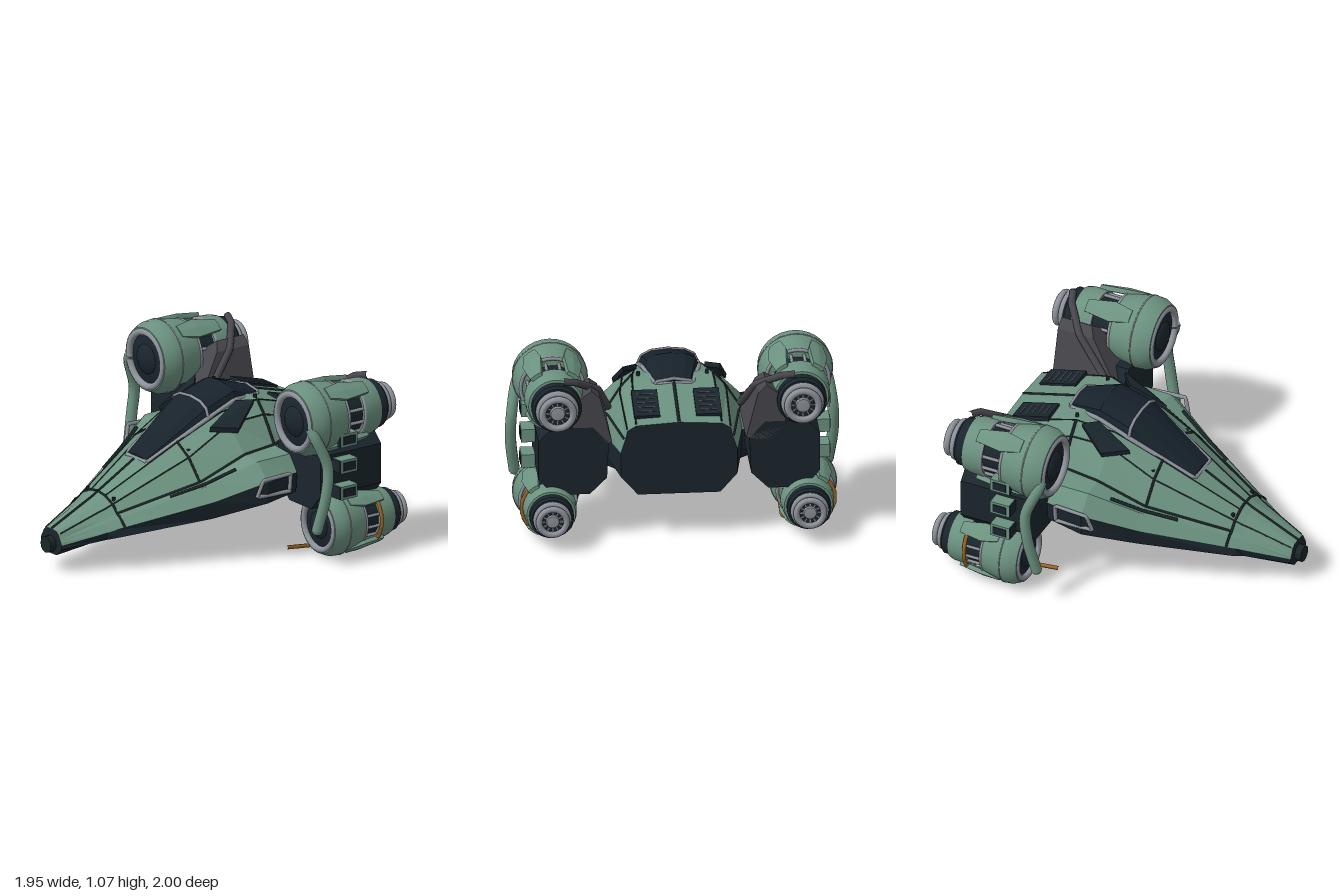
import * as THREE from 'three';
import { toCreasedNormals } from 'three/addons/utils/BufferGeometryUtils.js';
import { ConvexGeometry } from 'three/addons/geometries/ConvexGeometry.js';

const material = (name, color) => Object.assign(new THREE.MeshStandardMaterial({ color }), { name });
const green = material('green paint', 0x6b917f);
const dark = material('dark hull', 0x1a252d);
const seam = material('seam black', 0x1a2527);
const glass = material('glass', 0x17222b);
const grey = material('light metal', 0x8d929a);
const gunmetal = material('dark metal', 0x46464c);
const orange = material('orange pipe', 0x9a6626);
const V = (x, y, z) => new THREE.Vector3(x, y, z);

// Half cross-sections: ridge, deck edge, shoulder, crease, sponson top, paint edge, chine, keel
const SECTIONS = [
  [0.96, [[0, 0.255], [0.05, 0.25], [0.07, 0.235], [0.085, 0.205], [0.095, 0.19], [0.1, 0.175], [0.1, 0.15], [0.05, 0.105]]],
  [0.71, [[0, 0.372], [0.058, 0.362], [0.12, 0.335], [0.156, 0.297], [0.183, 0.278], [0.217, 0.237], [0.205, 0.19], [0.08, 0.142]]],
  [0.67, [[0, 0.39], [0.06, 0.38], [0.13, 0.35], [0.168, 0.312], [0.197, 0.292], [0.237, 0.25], [0.25, 0.205], [0.1, 0.15]]],
  [0.15, [[0, 0.68], [0.15, 0.665], [0.26, 0.6], [0.37, 0.475], [0.43, 0.465], [0.5, 0.385], [0.48, 0.28], [0.2, 0.175]]],
  [-0.13, [[0, 0.815], [0.19, 0.8], [0.27, 0.75], [0.42, 0.6], [0.545, 0.59], [0.645, 0.49], [0.64, 0.36], [0.28, 0.205]]],
  [-0.36, [[0, 0.86], [0.235, 0.845], [0.3, 0.77], [0.4, 0.61], [0.55, 0.595], [0.62, 0.5], [0.61, 0.38], [0.3, 0.25]]],
  [-0.42, [[0, 0.845], [0.24, 0.83], [0.31, 0.755], [0.38, 0.62], [0.39, 0.57], [0.4, 0.5], [0.4, 0.38], [0.3, 0.26]]],
  [-0.82, [[0, 0.735], [0.25, 0.72], [0.3, 0.69], [0.315, 0.63], [0.325, 0.6], [0.34, 0.55], [0.34, 0.4], [0.24, 0.285]]],
];

// Point on section line i at depth z, mirrored by s
function hullPoint(z, i, s = 1) {
  let k = 0;
  while (k < SECTIONS.length - 2 && z < SECTIONS[k + 1][0]) k++;
  const [za, a] = SECTIONS[k], [zb, b] = SECTIONS[k + 1];
  const t = (z - za) / (zb - za);
  return V(s * (a[i][0] + t * (b[i][0] - a[i][0])), a[i][1] + t * (b[i][1] - a[i][1]), z);
}

// Skin between closed rings ordered front to back; keep(i) selects the ring segments
function skin(rings, keep, caps) {
  const out = [], n = rings[0].length;
  for (let k = 0; k < rings.length - 1; k++) {
    for (let i = 0; i < n; i++) {
      if (!keep(i)) continue;
      const j = (i + 1) % n, a = rings[k][i], b = rings[k][j], c = rings[k + 1][j], d = rings[k + 1][i];
      out.push(a, b, c, a, c, d);
    }
  }
  if (caps) {
    const f = rings[0], r = rings[rings.length - 1];
    for (let i = 1; i < n - 1; i++) out.push(f[0], f[i + 1], f[i], r[0], r[i], r[i + 1]);
  }
  const g = new THREE.BufferGeometry().setFromPoints(out);
  g.computeVertexNormals();
  return g;
}

const ringOf = (z, half) => [
  ...half.map(([x, y]) => V(x, y, z)),
  ...half.slice(1).reverse().map(([x, y]) => V(-x, y, z)),
];

export function createModel() {
  const root = new THREE.Group();
  root.name = 'spacecraft';
  const add = (parent, name, geo, mat, x = 0, y = 0, z = 0) => {
    const m = new THREE.Mesh(geo, mat);
    m.name = name;
    m.position.set(x, y, z);
    parent.add(m);
    return m;
  };
  // Pipe through points, straight-jointed unless smooth
  const pipe = (parent, name, pts, r, mat, sides = 6, smooth = false) => {
    let path = new THREE.CatmullRomCurve3(pts, false, 'centripetal');
    if (!smooth) {
      path = new THREE.CurvePath();
      for (let i = 1; i < pts.length; i++) path.add(new THREE.LineCurve3(pts[i - 1], pts[i]));
    }
    return add(parent, name, new THREE.TubeGeometry(path, smooth ? 24 : pts.length * 10, r, sides), mat);
  };
  const box = (parent, name, w, h, d, mat, x, y, z) => add(parent, name, new THREE.BoxGeometry(w, h, d), mat, x, y, z);

  // Hull: painted top, dark belly and ends
  const hull = new THREE.Group();
  hull.name = 'hull';
  root.add(hull);
  const rings = SECTIONS.map(([z, half]) => ringOf(z, half));
  add(hull, 'upperHull', skin(rings, i => i < 5 || i >= 10, false), green);
  add(hull, 'belly', skin(rings, i => i >= 5 && i < 10, true), dark);
  add(hull, 'noseCap', new THREE.CylinderGeometry(0.05, 0.05, 0.05, 12).rotateX(Math.PI / 2), seam, 0, 0.165, 0.975);
  box(hull, 'bellyHatch', 0.22, 0.012, 0.28, gunmetal, 0, 0.187, 0);

  // Panel seams along and across the hull
  const stops = (from, to) => [from, ...SECTIONS.map(s => s[0]).filter(z => z < from && z > to), to];
  pipe(hull, 'ridgeSeam', stops(0.96, 0.36).map(z => hullPoint(z, 0)), 0.009, seam, 4);
  pipe(hull, 'rearRidgeSeam', stops(-0.46, -0.82).map(z => hullPoint(z, 0)), 0.009, seam, 4);
  for (const s of [-1, 1]) {
    for (const [i, from, r] of [[1, 0.62, 0.005], [2, 0.95, 0.006], [3, 0.62, 0.009]]) {
      pipe(hull, 'lengthSeam', stops(from, -0.81).map(z => hullPoint(z, i, s)), r, seam, 4);
    }
    for (const [z, lines] of [[0.62, [0, 1, 2, 3, 4, 5]], [0.155, [0, 1, 2, 3]], [-0.36, [1, 2, 3]]]) {
      pipe(hull, 'crossSeam', lines.map(i => hullPoint(z, i, s)), 0.009, seam, 4);
    }
    for (const [z, i] of [[0.6, 2], [0.13, 2], [-0.37, 1]]) {
      const p = hullPoint(z, i, s);
      add(hull, 'bolt', new THREE.CylinderGeometry(0.011, 0.011, 0.03, 8), seam, p.x * 0.85, p.y + 0.008, z);
    }
    // Deck vents with slats
    const vent = new THREE.Group();
    vent.name = 'deckVent';
    vent.position.set(0.18 * s, 0.776, -0.645);
    vent.rotation.x = -0.27;
    hull.add(vent);
    box(vent, 'ventPlate', 0.15, 0.03, 0.24, dark, 0, 0, 0);
    for (let k = 0; k < 5; k++) box(vent, 'ventSlat', 0.1, 0.012, 0.008, gunmetal, 0, 0.012, -0.08 + k * 0.04);
    // Raised dark plate beside the canopy
    const top = [V(0.285 * s, 0.87, -0.3), V(0.2 * s, 0.855, -0.23), V(0.245 * s, 0.745, -0.01), V(0.335 * s, 0.735, -0.15)];
    add(hull, 'sidePlate', new ConvexGeometry([...top, ...top.map(p => V(p.x * 0.98, p.y - 0.03, p.z))]), dark);
    // Flank window frame and sponson rails
    const w = [[0.635, 0.41, -0.06], [0.655, 0.51, -0.09], [0.64, 0.51, -0.3], [0.63, 0.4, -0.3], [0.635, 0.41, -0.06]];
    pipe(hull, 'flankFrame', w.map(([x, y, z]) => V(x * s, y, z)), 0.012, grey);
    pipe(hull, 'sponsonRail', [0.34, 0.15, -0.02].map(z => hullPoint(z, 4, s).add(V(-0.02 * s, 0.008, 0))), 0.011, seam);
  }

  // Canopy: arched glass loft with a metal frame
  const canopy = new THREE.Group();
  canopy.name = 'canopy';
  root.add(canopy);
  const C = [[0.34, 0.1, 0.56, 0.58], [-0.05, 0.175, 0.775, 0.86], [-0.25, 0.165, 0.845, 0.92], [-0.46, 0.11, 0.825, 0.85]];
  const arch = ([, sx, sy, ty]) => [[0, ty + 0.006], [sx * 0.55, ty - 0.004], [sx * 0.88, sy + (ty - sy) * 0.6], [sx, sy]];
  add(canopy, 'glass', skin(C.map(c => ringOf(c[0], [...arch(c), [c[1] * 0.9, c[2] - 0.06]])), () => true, true), glass);
  const sill = [...C.map(c => V(c[1], c[2], c[0])), ...C.slice().reverse().map(c => V(-c[1], c[2], c[0]))];
  pipe(canopy, 'sillFrame', [...sill, sill[0]], 0.014, grey);
  for (const c of [C[1], C[3]]) {
    const half = arch(c).map(([x, y]) => V(x, y, c[0]));
    pipe(canopy, 'crossFrame', [...half.slice(1).reverse().map(p => V(-p.x, p.y, p.z)), ...half], 0.01, grey);
  }

  // Engine with its front at z = 0, pointing forward; profiles run back to front
  const turned = pts => toCreasedNormals(new THREE.LatheGeometry(pts.map(p => new THREE.Vector2(...p)), 32).rotateX(Math.PI / 2), 0.5);
  function engine(name, x, y, z, radial, axial) {
    const e = new THREE.Group();
    e.name = name;
    e.position.set(x, y, z);
    e.scale.set(radial, radial, axial);
    root.add(e);
    const hoop = (n, r, t, zz, mat) => add(e, n, new THREE.TorusGeometry(r, t, 10, 32), mat, 0, 0, zz);
    add(e, 'frontShell', turned([[0.13, -0.275], [0.19, -0.27], [0.205, -0.2], [0.22, -0.11], [0.216, -0.06], [0.19, -0.005], [0.16, 0]]), green);
    hoop('intakeRing', 0.164, 0.021, -0.012, grey);
    add(e, 'intakeDome', turned([[0.15, -0.025], [0.09, -0.012], [0.085, -0.005], [0.05, 0.012], [0, 0.018]]), dark);
    hoop('shellSeam', 0.217, 0.005, -0.12, grey);
    hoop('shellLip', 0.184, 0.011, -0.275, grey);
    add(e, 'core', turned([[0.14, -0.45], [0.14, -0.25]]), dark);
    add(e, 'rearShell', turned([[0.12, -0.54], [0.16, -0.535], [0.17, -0.5], [0.175, -0.41], [0.13, -0.405]]), green);
    hoop('rearLip', 0.165, 0.01, -0.41, grey);
    for (let k = 0; k < 12; k++) {
      const a = (k + 0.5) * Math.PI / 6;
      add(e, 'strut', new THREE.CylinderGeometry(0.011, 0.011, 0.15, 6).rotateX(Math.PI / 2), grey, 0.15 * Math.cos(a), 0.15 * Math.sin(a), -0.34);
    }
    // Clamp plates above and below, bridging the gap and tapered to the rear
    for (const a of [0.95, 2.19, -0.95, -2.19]) {
      const plate = [];
      for (const [zz, r, half] of [[-0.16, 0.218, 0.18], [-0.28, 0.217, 0.3], [-0.45, 0.195, 0.2]]) {
        const pt = (t, rr) => V(rr * Math.cos(a + t), rr * Math.sin(a + t), zz);
        for (const t of [-half, 0, half]) plate.push(pt(t, r), pt(t, r - 0.03));
      }
      add(e, 'clampPlate', new ConvexGeometry(plate), green);
    }
    add(e, 'rearCollar', turned([[0.08, -0.6], [0.13, -0.6], [0.145, -0.585], [0.145, -0.53]]), dark);
    hoop('nozzleRing', 0.105, 0.021, -0.616, grey);
    hoop('nozzleRing', 0.09, 0.021, -0.661, grey);
    add(e, 'nozzlePlate', turned([[0, -0.65], [0.09, -0.65], [0.1, -0.6]]), dark);
    add(e, 'nozzleHub', turned([[0, -0.67], [0.04, -0.665], [0.05, -0.64]]), grey);
    for (let k = 0; k < 12; k++) {
      const a = k * Math.PI / 6;
      box(e, 'nozzleVane', 0.03, 0.008, 0.012, grey, 0.062 * Math.cos(a), 0.062 * Math.sin(a), -0.652).rotation.z = a;
    }
  }

  // Engine pods, mirrored left and right
  const prism = (pts, s, z0, z1) => new THREE.ExtrudeGeometry(new THREE.Shape(pts.map(([x, y]) => new THREE.Vector2(x * s, y))), { depth: z1 - z0, bevelEnabled: false }).translate(0, 0, z0);
  for (const s of [-1, 1]) {
    const side = s > 0 ? 'left' : 'right';
    engine(side + 'UpperEngine', 0.715 * s, 0.855, -0.255, 1, 1);
    engine(side + 'LowerEngine', 0.75 * s, 0.2, -0.41, 0.89, 0.865);
    const pod = new THREE.Group();
    pod.name = side + 'Pod';
    root.add(pod);
    add(pod, 'pylon', prism([[0.42, 0.4], [0.52, 0.3], [0.73, 0.3], [0.82, 0.4], [0.82, 0.64], [0.74, 0.72], [0.5, 0.72], [0.41, 0.62]], s, -0.82, -0.38), dark);

    // Strut fin, its front edge raked back
    const fin = prism([[0.39, 0.62], [0.46, 0.9], [0.51, 0.95], [0.64, 0.85], [0.6, 0.6]], s, -0.82, -0.38);
    const p = fin.attributes.position;
    for (let i = 0; i < p.count; i++) if (p.getZ(i) > -0.5) p.setZ(i, -0.38 - (p.getY(i) - 0.6) * 0.7);
    fin.computeVertexNormals();
    add(pod, 'strutFin', fin, gunmetal);
    const at = pts => pts.map(([x, y, z]) => V(x * s, y, z));
    pipe(pod, 'braceTube', at([[0.68, 1.02, -0.83], [0.6, 1.0, -0.8], [0.46, 0.9, -0.68], [0.385, 0.7, -0.48]]), 0.022, gunmetal, 8);
    pipe(pod, 'outerPipe', at([[0.87, 0.85, -0.27], [0.9, 0.8, -0.28], [0.935, 0.62, -0.345], [0.94, 0.45, -0.33], [0.915, 0.24, -0.285]]), 0.033, green, 12, true);
    add(pod, 'pipeEnd', new THREE.SphereGeometry(0.033, 12, 8), green, 0.915 * s, 0.24, -0.285);

    // Side brackets with dark faces
    for (const y of [0.42, 0.58, 0.74]) {
      box(pod, 'bracket', 0.1, 0.08, 0.12, green, 0.85 * s, y, -0.53);
      box(pod, 'bracketFace', 0.008, 0.05, 0.085, dark, 0.901 * s, y, -0.53);
      box(pod, 'bracketFront', 0.095, 0.075, 0.008, dark, 0.85 * s, y, -0.468);
    }

    // Fuel line under the lower engine and up its outer side
    const line = [[0.62, 0.055, -0.285], [0.62, 0.02, -0.58], [0.63, 0.06, -0.7]];
    for (let k = 0; k <= 8; k++) {
      const a = -2.2 + k * 0.4;
      line.push([0.75 + 0.165 * Math.cos(a), 0.2 + 0.165 * Math.sin(a), -0.755]);
    }
    pipe(pod, 'fuelLine', at(line), 0.012, orange);
  }
  return root;
}
